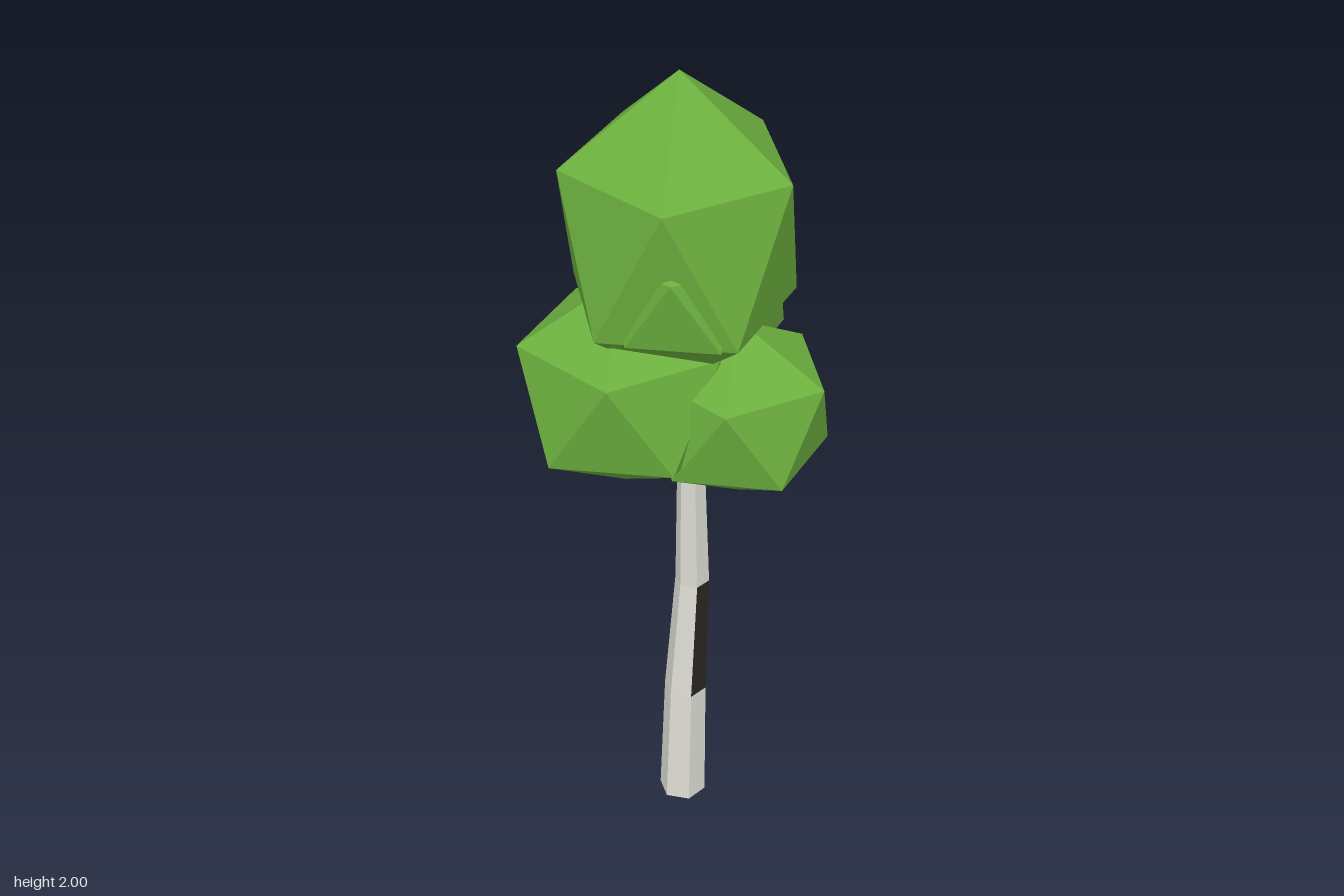
import * as THREE from 'three';

const flat = (color) => new THREE.MeshStandardMaterial({ color, flatShading: true });

// Icosahedron standing on a vertex; az turns its upper ring from +x towards +z
function leafClump(name, [x, y, z], r, ry, azDeg, material) {
  const geo = new THREE.IcosahedronGeometry(1, 0);
  geo.rotateX(-Math.atan((1 + Math.sqrt(5)) / 2));
  geo.rotateY(Math.PI / 2 - THREE.MathUtils.degToRad(azDeg));
  geo.scale(r, ry, r);
  const mesh = new THREE.Mesh(geo, material);
  mesh.name = name;
  mesh.position.set(x, y, z);
  return mesh;
}

// Bent six-sided trunk: [x, y, z, radius] of each ring
const RINGS = [
  [-0.003, 0, -0.008, 0.058],
  [0.007, 0.325, -0.008, 0.052],
  [0.025, 0.65, -0.002, 0.042],
  [0.013, 0.975, 0.005, 0.034],
  [0, 1.3, 0, 0.028],
];
// Sides carrying dark bark, per segment
const DARK_SIDES = [[0, 5], [1], [0, 4], [2]];

function ringPoint(ring, k) {
  const [x, y, z, r] = RINGS[ring];
  const a = (k * Math.PI) / 3;
  return [x + r * Math.cos(a), y, z + r * Math.sin(a)];
}

function barkMesh(name, dark, color) {
  const pos = [];
  DARK_SIDES.forEach((sides, s) => {
    for (let k = 0; k < 6; k++) {
      if (sides.includes(k) !== dark) continue;
      const a = ringPoint(s, k), b = ringPoint(s, k + 1);
      const c = ringPoint(s + 1, k + 1), d = ringPoint(s + 1, k);
      pos.push(...b, ...a, ...d, ...b, ...d, ...c);
    }
  });
  const geo = new THREE.BufferGeometry();
  geo.setAttribute('position', new THREE.Float32BufferAttribute(pos, 3));
  geo.computeVertexNormals();
  const mesh = new THREE.Mesh(geo, flat(color));
  mesh.name = name;
  return mesh;
}

export function createModel() {
  const model = new THREE.Group();
  model.name = 'tree';

  // Trunk with light and dark bark patches and a closed foot
  const trunk = new THREE.Group();
  trunk.name = 'trunk';
  trunk.add(barkMesh('lightBark', false, 0xdcdcd4), barkMesh('darkBark', true, 0x2a2622));
  const [fx, fy, fz, fr] = RINGS[0];
  const foot = new THREE.Mesh(new THREE.CircleGeometry(fr, 6).rotateX(Math.PI / 2), flat(0xdcdcd4));
  foot.name = 'trunkFoot';
  foot.position.set(fx, fy, fz);
  trunk.add(foot);
  model.add(trunk);

  // Crown of overlapping leaf clumps
  const leaf = flat(0x6cb03e);
  const crown = new THREE.Group();
  crown.name = 'crown';
  crown.add(
    leafClump('topClump', [-0.005, 1.615, -0.015], 0.3, 0.385, 0, leaf),
    leafClump('frontClump', [0.057, 1.18, 0.11], 0.238, 0.23, 73, leaf),
    leafClump('rightClump', [-0.11, 1.237, -0.09], 0.27, 0.27, 0, leaf),
    leafClump('leftClump', [0.12, 1.392, -0.108], 0.255, 0.272, 0, leaf),
    leafClump('innerClump', [-0.06, 1.53, 0.045], 0.2, 0.2, 0, leaf),
  );
  model.add(crown);
  return model;
}
